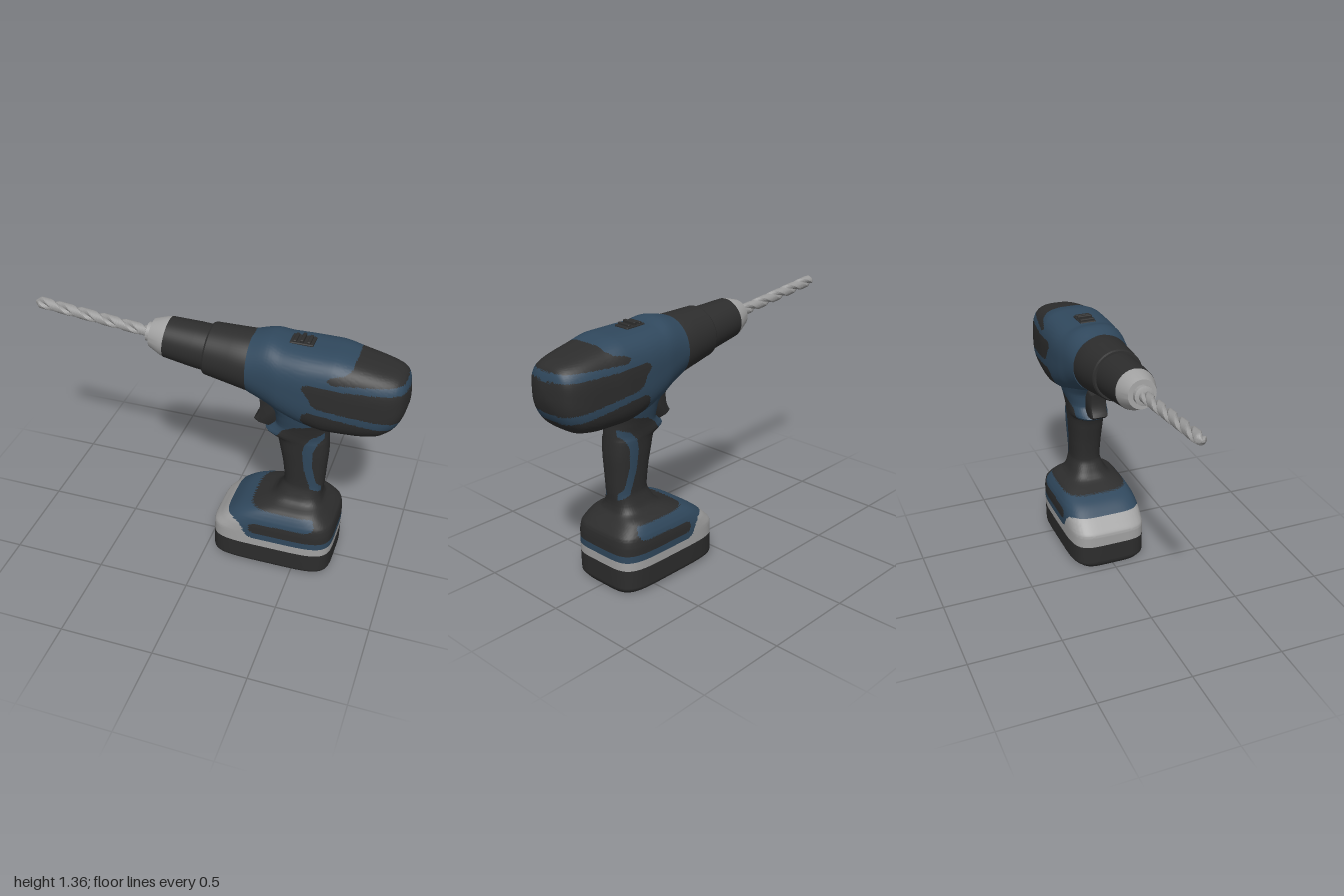
import * as THREE from 'three';
import { toCreasedNormals } from 'three/addons/utils/BufferGeometryUtils.js';
import { RoundedBoxGeometry } from 'three/addons/geometries/RoundedBoxGeometry.js';

const mat = (name, color) => new THREE.MeshStandardMaterial({ name, color });
const DARK = 0, BLUE = 1, GREY = 2;

// Smooth monotone interpolation through rows of [position, ...values]
function sample(rows, k, t) {
  const slope = (i, c) => (rows[i + 1][c] - rows[i][c]) / (rows[i + 1][0] - rows[i][0]);
  const tangent = (i, c) => {
    if (i === 0) return slope(0, c);
    if (i === rows.length - 1) return slope(i - 1, c);
    const a = slope(i - 1, c), b = slope(i, c);
    return a * b <= 0 ? 0 : (2 * a * b) / (a + b);
  };
  const h = rows[k + 1][0] - rows[k][0], t2 = t * t, t3 = t2 * t;
  return rows[k].map((v, c) => c === 0 ? v + h * t :
    (2 * t3 - 3 * t2 + 1) * v + (t3 - 2 * t2 + t) * h * tangent(k, c) +
    (3 * t2 - 2 * t3) * rows[k + 1][c] + (t3 - t2) * h * tangent(k + 1, c));
}

function sampleAll(rows, step) {
  const out = [];
  for (let k = 0; k < rows.length - 1; k++) {
    const n = Math.ceil((rows[k + 1][0] - rows[k][0]) / step);
    for (let i = 0; i < n; i++) out.push(sample(rows, k, i / n));
  }
  out.push(rows[rows.length - 1]);
  return out;
}

// Skin over closed rings with end caps; rule(x, y, z) picks each face's material
function loft(rings, rule) {
  const n = rings[0].length, pts = rings.flat(), faces = [[], [], []];
  const add = (...f) => {
    const m = [0, 1, 2].map(c => (pts[f[0]][c] + pts[f[1]][c] + pts[f[2]][c]) / 3);
    faces[rule(...m)].push(...f);
  };
  for (let i = 0; i < rings.length - 1; i++) for (let j = 0; j < n; j++) {
    const a = i * n + j, b = i * n + (j + 1) % n;
    add(a, b, b + n);
    add(a, b + n, a + n);
  }
  for (const [i, flip] of [[0, true], [rings.length - 1, false]]) {
    const centre = [0, 1, 2].map(c => rings[i].reduce((s, p) => s + p[c], 0) / n);
    pts.push(centre);
    for (let j = 0; j < n; j++) {
      const a = i * n + j, b = i * n + (j + 1) % n;
      if (flip) add(b, a, pts.length - 1); else add(a, b, pts.length - 1);
    }
  }
  const g = new THREE.BufferGeometry();
  g.setAttribute('position', new THREE.Float32BufferAttribute(pts.flat(), 3));
  g.setIndex(faces.flat());
  let start = 0;
  faces.forEach((f, m) => { if (f.length) g.addGroup(start, f.length, m); start += f.length; });
  return toCreasedNormals(g, 0.5);
}

// Superellipse outline in the unit square, as [cos side, sin side]
function outline(count, e) {
  return Array.from({ length: count }, (_, j) => {
    const a = (j / count) * Math.PI * 2, c = Math.cos(a), s = Math.sin(a);
    const r = (Math.abs(c) ** e + Math.abs(s) ** e) ** (-1 / e);
    return [c * r, s * r];
  });
}

function inside(poly, x, y) {
  let hit = false;
  poly.forEach(([x1, y1], i) => {
    const [x2, y2] = poly[(i + 1) % poly.length];
    if ((y1 > y) !== (y2 > y) && x < x1 + ((y - y1) * (x2 - x1)) / (y2 - y1)) hit = !hit;
  });
  return hit;
}

// Motor housing: x, bottom, top, half width, squareness
const BODY = [
  [0.2, 1.02, 1.338, 0.162, 2.1], [0.3, 0.985, 1.357, 0.178, 2.4], [0.38, 0.955, 1.342, 0.19, 2.7],
  [0.5, 0.918, 1.338, 0.196, 3], [0.62, 0.898, 1.337, 0.195, 3.1], [0.75, 0.899, 1.313, 0.182, 3.1],
  [0.86, 0.914, 1.29, 0.168, 3.1], [0.93, 0.955, 1.272, 0.147, 3], [0.967, 1.005, 1.25, 0.12, 3],
  [0.985, 1.05, 1.215, 0.085, 2.8], [0.997, 1.1, 1.16, 0.025, 2.5],
];
const BODY_PANELS = [
  [[0.735, 1.4], [0.73, 1.3], [0.7, 1.277], [0.635, 1.265], [0.612, 1.248], [0.64, 1.23], [0.85, 1.235], [1.05, 1.238], [1.05, 1.4]],
  [[0.495, 1.185], [0.505, 1.205], [0.54, 1.212], [0.7, 1.2], [1.05, 1.197], [1.05, 1.025], [0.9, 1.042], [0.58, 1.085], [0.55, 1.1], [0.53, 1.14]],
  [[0.535, 1.052], [0.6, 1.048], [0.9, 0.997], [1.05, 0.98], [1.05, 0.8], [0.6, 0.8], [0.575, 0.91], [0.52, 0.945], [0.495, 0.99], [0.505, 1.035]],
];

// Handle and battery base: y, front x, rear x, half width, squareness
const GRIP = [
  [0, 0.05, 0.68, 0.19, 5], [0.03, 0.036, 0.698, 0.218, 5], [0.2, 0.037, 0.7, 0.22, 5],
  [0.25, 0.075, 0.7, 0.22, 4.8], [0.3, 0.13, 0.695, 0.214, 4.5], [0.335, 0.18, 0.67, 0.2, 4.2],
  [0.37, 0.27, 0.635, 0.175, 3.8], [0.4, 0.34, 0.612, 0.12, 3.2], [0.44, 0.37, 0.605, 0.098, 2.8],
  [0.5, 0.395, 0.61, 0.083, 2.6], [0.6, 0.385, 0.615, 0.088, 2.6], [0.7, 0.365, 0.62, 0.095, 2.6],
  [0.78, 0.343, 0.617, 0.1, 2.5], [0.795, 0.305, 0.616, 0.102, 2.4], [0.812, 0.28, 0.615, 0.104, 2.4],
  [0.835, 0.305, 0.612, 0.106, 2.4], [0.87, 0.335, 0.608, 0.111, 2.5], [0.93, 0.33, 0.615, 0.125, 2.6],
  [1.0, 0.29, 0.63, 0.14, 2.6],
];
const GREY_BAND = [[0, 0.138], [0.8, 0.138], [0.8, 0.183], [0.275, 0.183], [0.24, 0.2], [0.215, 0.25], [0.19, 0.275], [0.15, 0.287], [0, 0.287]];
const BASE_PANEL = [[0.255, 0.25], [0.265, 0.228], [0.29, 0.222], [0.8, 0.222], [0.8, 0.38], [0.58, 0.38], [0.6, 0.35],
  [0.61, 0.325], [0.6, 0.3], [0.57, 0.29], [0.29, 0.287], [0.26, 0.273]];
const GRIP_STRIPE = [[0.602, 0.85], [0.545, 0.83], [0.51, 0.785], [0.5, 0.73], [0.512, 0.62], [0.55, 0.49], [0.602, 0.465],
  [0.602, 0.5], [0.578, 0.53], [0.555, 0.64], [0.555, 0.74], [0.575, 0.79], [0.602, 0.815]];
const NECK = [[0.2, 0.77], [0.345, 0.785], [0.39, 0.85], [0.45, 0.89], [0.575, 0.92], [0.575, 1.1], [0.2, 1.1]];

function gripColour(x, y) {
  if (y > 0.138 && y < 0.37) {
    if (inside(GREY_BAND, x, y)) return GREY;
    if (inside(BASE_PANEL, x, y) || y > 0.36) return DARK;
    return BLUE;
  }
  return inside(NECK, x, y) || inside(GRIP_STRIPE, x, y) ? BLUE : DARK;
}

export function createModel() {
  const drill = new THREE.Group();
  drill.name = 'cordlessDrill';
  const dark = mat('darkRubber', 0x2d2d2d), blue = mat('bluePlastic', 0x30485d);
  const grey = mat('greyPlastic', 0xa2a2a2), steel = mat('steel', 0x9a9a9a);
  const shell = [dark, blue, grey];
  const add = (parent, name, geometry, material) => {
    const m = new THREE.Mesh(geometry, material);
    m.name = name;
    parent.add(m);
    return m;
  };

  // Housing, skinned from front to rear
  add(drill, 'motorHousing', loft(sampleAll(BODY, 0.0075).map(([x, lo, hi, w, e]) =>
    outline(176, e).map(([c, s]) => [x, (lo + hi) / 2 + c * (hi - lo) / 2, s * w])),
  (x, y) => BODY_PANELS.some(p => inside(p, x, y)) ? DARK : BLUE), shell);

  // Handle and battery base, skinned from the ground up
  add(drill, 'handleAndBattery', loft(sampleAll(GRIP, 0.008).map(([y, front, rear, w, e]) =>
    outline(216, e).map(([c, s]) => [(front + rear) / 2 + s * (rear - front) / 2, y, c * w])),
  gripColour), shell);

  // Turned parts share an axis that rises slightly towards the tip (local +y)
  const spindle = new THREE.Group();
  spindle.name = 'spindle';
  spindle.position.set(0, 1.2, 0);
  spindle.rotation.z = Math.PI / 2 - 0.1;
  drill.add(spindle);
  const turned = (name, profile, material) => add(spindle, name, toCreasedNormals(
    new THREE.LatheGeometry(profile.map(p => new THREE.Vector2(...p)), 56), 0.4), material);
  turned('collar', [[0, -0.23], [0.157, -0.23], [0.16, -0.2], [0.15, -0.1], [0.138, 0.025], [0.132, 0.034], [0, 0.034]], dark);
  turned('chuckSleeve', [[0, 0], [0.122, 0], [0.119, 0.1], [0.108, 0.255], [0, 0.255]], dark);
  turned('chuckNose', [[0, 0.25], [0.107, 0.25], [0.103, 0.275], [0.076, 0.342], [0.05, 0.342], [0.05, 0.368], [0.035, 0.373], [0, 0.373]], grey);

  // Twist bit with two flutes and a pointed tip
  const bitRings = [];
  for (let i = 0; i <= 110; i++) {
    const y = 0.35 + (i / 110) * 0.652;
    const r = 0.031 * Math.min(1, 0.25 + (1.002 - y) / 0.035);
    const turn = (y / 0.25) * Math.PI * 2;
    bitRings.push(Array.from({ length: 28 }, (_, j) => {
      const a = (j / 28) * Math.PI * 2;
      const q = r * (0.5 + 0.5 * Math.min(1, 1.5 * Math.abs(Math.cos(a))));
      return [Math.sin(a + turn) * q, y, Math.cos(a + turn) * q];
    }));
  }
  add(spindle, 'drillBit', loft(bitRings, () => 0), [steel]);

  // Trigger with a hollowed finger face
  const t = new THREE.Shape();
  t.moveTo(0.37, 0.985);
  t.lineTo(0.255, 0.972);
  t.quadraticCurveTo(0.268, 0.9, 0.232, 0.852);
  t.lineTo(0.25, 0.838);
  t.lineTo(0.31, 0.828);
  t.lineTo(0.37, 0.84);
  const trigger = new THREE.ExtrudeGeometry(t, { depth: 0.07, bevelSize: 0.008, bevelThickness: 0.01, bevelSegments: 2, curveSegments: 10 });
  trigger.translate(0, 0, -0.035);
  add(drill, 'trigger', toCreasedNormals(trigger, 0.6), dark);

  // Gear selector on the top
  add(drill, 'selectorPlate', new RoundedBoxGeometry(0.12, 0.02, 0.09, 2, 0.006), dark).position.set(0.45, 1.336, 0);
  for (const [x, h] of [[0.415, 0.02], [0.45, 0.032], [0.485, 0.02]])
    add(drill, 'selectorRidge', new RoundedBoxGeometry(0.018, h, 0.08, 2, 0.005), dark).position.set(x, 1.346, 0);

  return drill;
}
